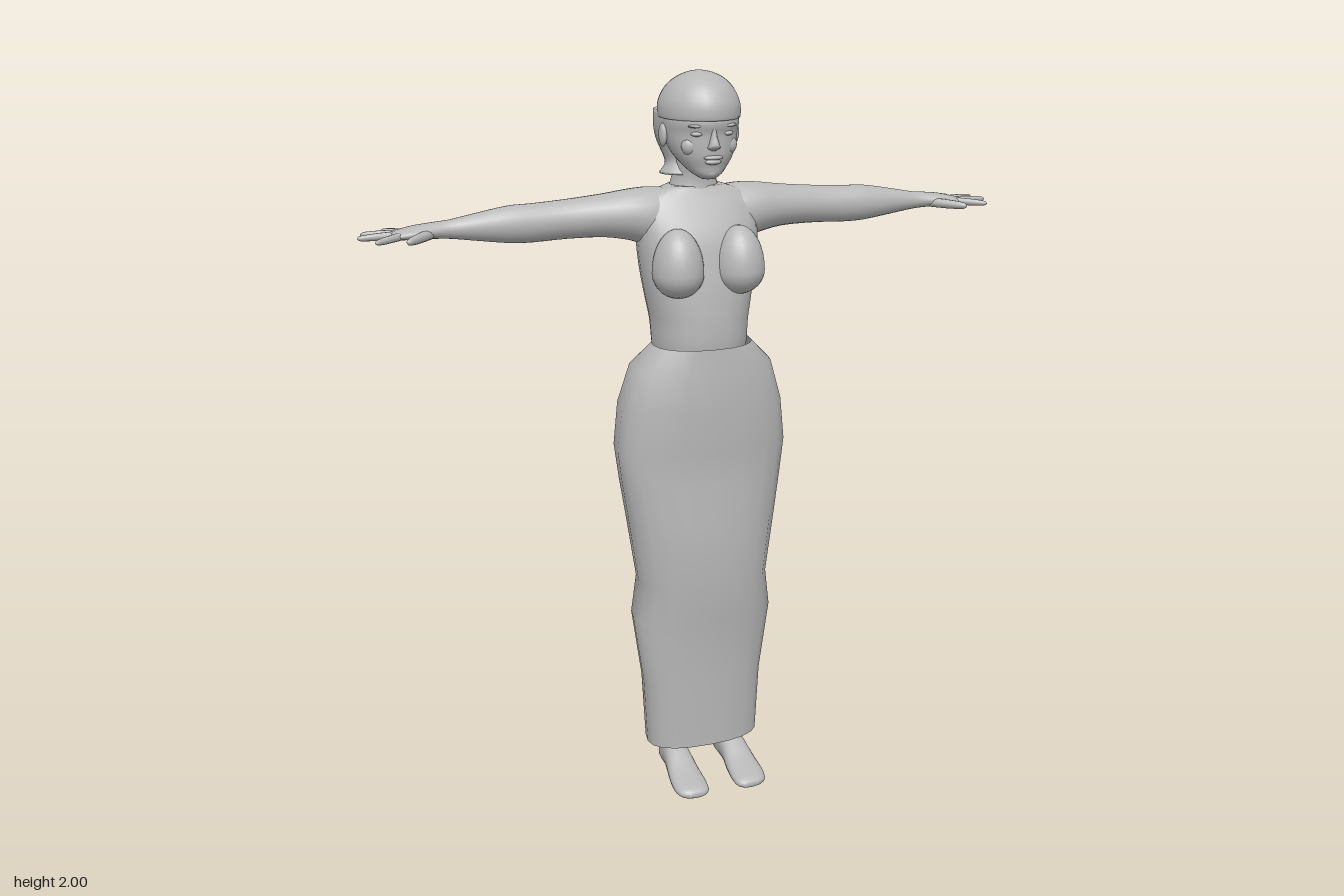
import * as THREE from 'three';

const clay = new THREE.MeshStandardMaterial({ color: 0xb8b8b8, side: THREE.DoubleSide });
clay.name = 'clay grey';

// smooth in-between sections for a loft
function refine(rows, sub) {
  const out = [];
  const last = rows.length - 1;
  for (let i = 0; i < last; i++) {
    const [a, b, c, d] = [i - 1, i, i + 1, i + 2].map(k => rows[Math.min(Math.max(k, 0), last)]);
    for (let k = 0; k < sub; k++) {
      const t = k / sub;
      out.push(b.map((v, j) => {
        const cubic = 3 * (v - c[j]) + d[j] - a[j];
        const square = 2 * a[j] - 5 * v + 4 * c[j] - d[j];
        return v + 0.5 * t * (c[j] - a[j] + t * (square + t * cubic));
      }));
    }
  }
  out.push(rows[last]);
  return out;
}

// section: [t, u centre, u radius, v low, v high]; place(t, u, v) gives the point
function loft(rows, place, { seg = 24, sub = 3, n = 2, cap = true, mid } = {}) {
  const secs = refine(rows, sub), pos = [], idx = [];
  const pw = v => Math.sign(v) * Math.pow(Math.abs(v), 2 / n);
  for (const [t, uc, ur, v0, v1] of secs) {
    const m = mid === undefined ? (v0 + v1) / 2 : mid;
    for (let i = 0; i < seg; i++) {
      const a = i / seg * Math.PI * 2, s = pw(Math.sin(a));
      pos.push(...place(t, uc + ur * pw(Math.cos(a)), m + s * (s > 0 ? v1 - m : m - v0)));
    }
  }
  for (let j = 0; j < secs.length - 1; j++) {
    for (let i = 0; i < seg; i++) {
      const a = j * seg + i, b = j * seg + (i + 1) % seg;
      idx.push(a, b, b + seg, a, b + seg, a + seg);
    }
  }
  if (cap) {
    [0, secs.length - 1].forEach((j, end) => {
      const [t, uc, , v0, v1] = secs[j], c = pos.length / 3;
      pos.push(...place(t, uc, (v0 + v1) / 2));
      for (let i = 0; i < seg; i++) {
        const a = j * seg + i, b = j * seg + (i + 1) % seg;
        if (end) idx.push(c, a, b);
        else idx.push(c, b, a);
      }
    });
  }
  // turn all faces outward
  const p = k => new THREE.Vector3().fromArray(pos, idx[k] * 3);
  let vol = 0;
  for (let k = 0; k < idx.length; k += 3) vol += p(k).dot(p(k + 1).cross(p(k + 2)));
  if (vol < 0) idx.reverse();
  const g = new THREE.BufferGeometry();
  g.setAttribute('position', new THREE.Float32BufferAttribute(pos, 3));
  g.setIndex(idx);
  g.computeVertexNormals();
  return g;
}

const upright = (t, u, v) => [u, t, v];

export function createModel() {
  const model = new THREE.Group();
  model.name = 'standing woman';
  const add = (name, geo) => {
    const m = new THREE.Mesh(geo, clay);
    m.name = name;
    model.add(m);
  };
  const ball = (name, x, y, z, rx, ry, rz) => {
    const g = new THREE.SphereGeometry(1, 20, 14);
    g.scale(rx, ry, rz);
    add(name, g.translate(x, y, z));
  };

  // long skirt, open below
  add('skirt', loft([
    [0.1, 0, 0.165, -0.113, 0.083], [0.3, 0, 0.175, -0.12, 0.09], [0.5, 0, 0.203, -0.13, 0.098],
    [0.61, 0, 0.186, -0.136, 0.125], [0.8, 0, 0.213, -0.165, 0.12], [0.9, 0, 0.228, -0.18, 0.11],
    [1.0, 0, 0.24, -0.195, 0.11], [1.12, 0, 0.226, -0.202, 0.122], [1.23, 0, 0.195, -0.145, 0.112],
    [1.29, 0, 0.137, -0.085, 0.108],
  ], upright, { seg: 20, sub: 1, n: 2.35, cap: false, mid: 0 }));

  // torso and neck
  add('torso', loft([
    [1.22, 0, 0.12, -0.07, 0.09], [1.29, 0, 0.13, -0.08, 0.104], [1.35, 0, 0.134, -0.095, 0.104],
    [1.4, 0, 0.143, -0.11, 0.1], [1.46, 0, 0.154, -0.122, 0.092], [1.52, 0, 0.162, -0.134, 0.08],
    [1.58, 0, 0.166, -0.14, 0.065], [1.64, 0, 0.165, -0.14, 0.035], [1.68, 0, 0.14, -0.13, 0.012],
    [1.705, 0, 0.075, -0.12, 0.0],
  ], upright, { n: 2.3, mid: -0.03 }));
  add('neck', loft([
    [1.65, 0, 0.085, -0.125, 0.015], [1.7, 0, 0.066, -0.12, 0.003],
    [1.74, 0, 0.056, -0.115, 0.004], [1.8, 0, 0.058, -0.11, 0.02],
  ], upright));

  // head, face and hair
  add('head', loft([
    [1.733, 0, 0.018, 0.035, 0.072], [1.745, 0, 0.038, 0.005, 0.083], [1.765, 0, 0.058, -0.03, 0.087],
    [1.79, 0, 0.077, -0.07, 0.094], [1.82, 0, 0.09, -0.1, 0.096], [1.85, 0, 0.096, -0.12, 0.097],
    [1.88, 0, 0.099, -0.13, 0.105], [1.93, 0, 0.09, -0.12, 0.09],
  ], upright, { n: 2.1 }));
  add('hairCap', loft([
    [1.884, 0, 0.1, -0.143, 0.105], [1.886, 0, 0.105, -0.147, 0.111], [1.92, 0, 0.104, -0.146, 0.11],
    [1.955, 0, 0.088, -0.124, 0.093], [1.98, 0, 0.063, -0.09, 0.066], [1.995, 0, 0.032, -0.052, 0.03],
    [2.0, 0, 0.004, -0.02, -0.01],
  ], upright));
  add('napeHair', loft([
    [1.733, 0, 0.088, -0.134, -0.012], [1.755, 0, 0.074, -0.119, -0.02], [1.775, 0, 0.075, -0.122, -0.025],
    [1.82, 0, 0.094, -0.138, -0.012], [1.86, 0, 0.103, -0.146, 0.012], [1.9, 0, 0.104, -0.147, 0.03],
  ], upright, { n: 2.3 }));
  add('nose', loft([
    [1.808, 0, 0.006, 0.08, 0.1], [1.815, 0, 0.017, 0.08, 0.109], [1.823, 0, 0.014, 0.08, 0.115],
    [1.845, 0, 0.008, 0.08, 0.106], [1.868, 0, 0.007, 0.08, 0.1],
  ], upright, { seg: 12 }));
  ball('upperLip', 0, 1.79, 0.092, 0.026, 0.006, 0.01);
  ball('lowerLip', 0, 1.779, 0.09, 0.022, 0.007, 0.01);
  ball('chin', 0, 1.75, 0.068, 0.022, 0.015, 0.017);

  for (const s of [1, -1]) {
    const side = s > 0 ? 'left' : 'right';
    ball(side + 'Eye', s * 0.04, 1.85, 0.081, 0.017, 0.007, 0.013);
    ball(side + 'Brow', s * 0.042, 1.87, 0.085, 0.024, 0.005, 0.012);
    ball(side + 'Cheek', s * 0.05, 1.818, 0.06, 0.025, 0.025, 0.02);
    ball(side + 'Ear', s * 0.099, 1.84, -0.015, 0.01, 0.03, 0.02);

    // breast: ball drawn out towards the collarbone
    const breast = new THREE.SphereGeometry(1, 24, 18);
    breast.scale(0.068, 0.066, 0.075);
    const bp = breast.attributes.position;
    for (let i = 0; i < bp.count; i++) if (bp.getY(i) > 0) bp.setY(i, bp.getY(i) * 1.75);
    breast.computeVertexNormals();
    add(side + 'Breast', breast.translate(s * 0.085, 1.492, 0.058));
    ball(side + 'ShoulderBlade', s * 0.085, 1.58, -0.115, 0.05, 0.075, 0.03);

    // arm and palm: sections run outward along x
    add(side + 'Arm', loft([
      [0.05, -0.05, 0.05, 1.6, 1.695], [0.12, -0.053, 0.07, 1.55, 1.703], [0.18, -0.054, 0.068, 1.565, 1.7],
      [0.25, -0.06, 0.06, 1.577, 1.69], [0.35, -0.066, 0.05, 1.578, 1.68], [0.44, -0.064, 0.046, 1.575, 1.675],
      [0.5, -0.063, 0.043, 1.577, 1.673], [0.58, -0.062, 0.035, 1.588, 1.66], [0.65, -0.062, 0.026, 1.598, 1.647],
      [0.69, -0.062, 0.03, 1.601, 1.643], [0.74, -0.062, 0.042, 1.603, 1.637], [0.78, -0.065, 0.041, 1.604, 1.628],
      [0.8, -0.065, 0.028, 1.608, 1.623],
    ], (t, u, v) => [s * t, v, u]));

    // fingers: base x, z, radius, then tip x, z
    [[0.76, -0.092, 0.009, 0.812, -0.152], [0.78, -0.082, 0.01, 0.87, -0.112], [0.785, -0.063, 0.01, 0.884, -0.06],
      [0.775, -0.045, 0.01, 0.85, 0.015], [0.705, -0.045, 0.013, 0.775, 0.035]].forEach(([x0, z0, r, x1, z1], i) => {
      const dx = x1 - x0, dz = z1 - z0, len = Math.hypot(dx, dz), y = 1.616;
      const rows = [[0, 1], [0.5, 0.95], [0.85, 0.75], [0.96, 0.5], [1, 0.1]]
        .map(([t, k]) => [t, 0, r * k, y - 0.003 * t - r * k, y - 0.003 * t + r * k]);
      add(side + (i === 4 ? 'Thumb' : 'Finger' + (i + 1)), loft(rows,
        (t, u, v) => [s * (x0 + dx * t - dz / len * u), v, z0 + dz * t + dx / len * u], { seg: 10, sub: 2 }));
    });

    // lower leg and bare foot
    add(side + 'Leg', loft([
      [0.04, s * 0.085, 0.034, -0.058, 0.035], [0.1, s * 0.085, 0.034, -0.062, 0.035],
      [0.25, s * 0.085, 0.045, -0.08, 0.045], [0.45, s * 0.09, 0.055, -0.085, 0.05],
      [0.7, s * 0.09, 0.07, -0.09, 0.07],
    ], upright, { seg: 16 }));
    add(side + 'Foot', loft([
      [-0.06, s * 0.085, 0.015, 0.012, 0.04], [-0.045, s * 0.085, 0.032, 0, 0.075], [0, s * 0.085, 0.036, 0, 0.1],
      [0.05, s * 0.087, 0.04, 0.004, 0.085], [0.1, s * 0.088, 0.046, 0, 0.058], [0.15, s * 0.088, 0.049, 0, 0.042],
      [0.185, s * 0.086, 0.042, 0.002, 0.033], [0.2, s * 0.082, 0.02, 0.009, 0.024],
    ], (t, u, v) => [u, v, t], { seg: 20, n: 2.3 }));
  }
  return model;
}
